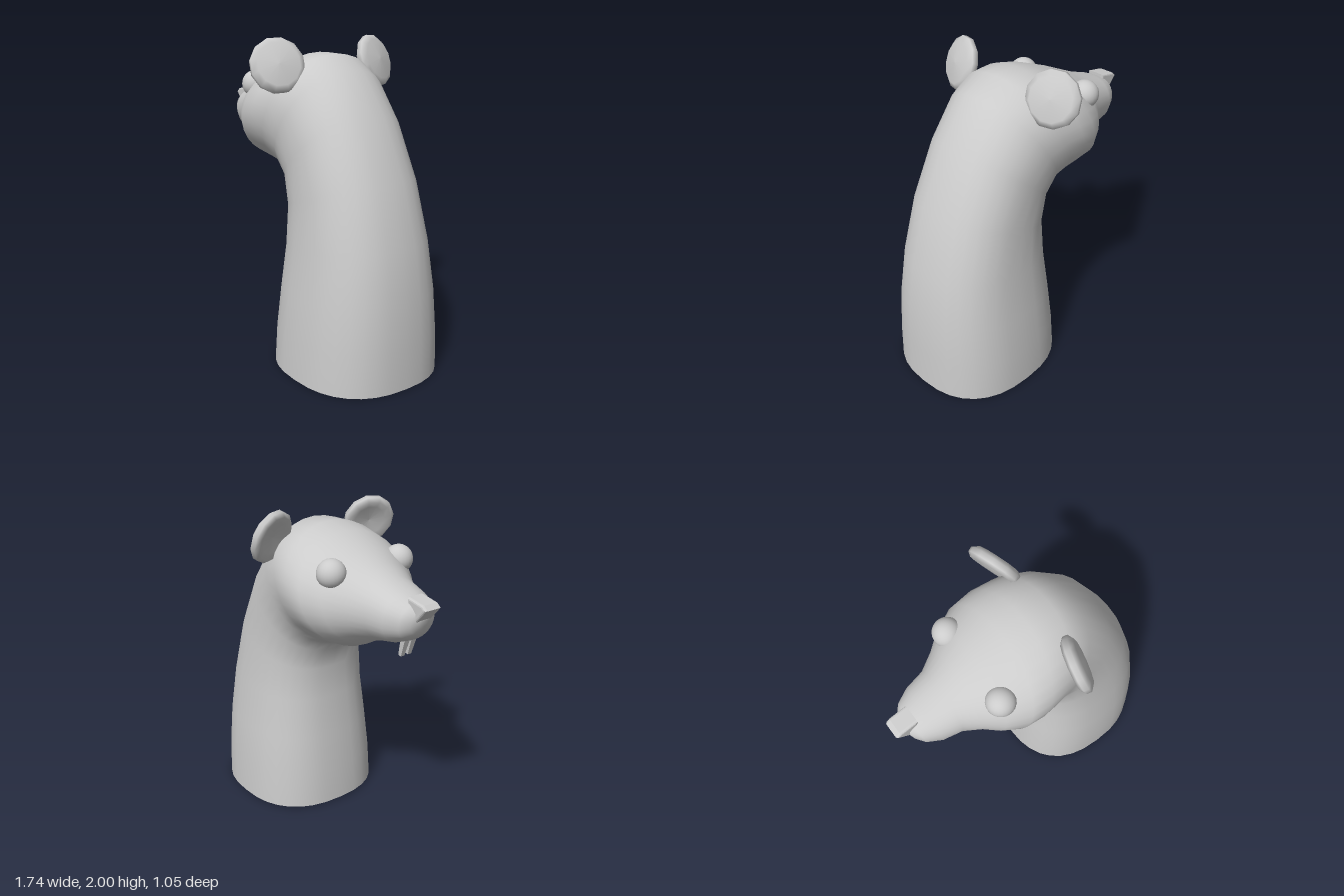
import * as THREE from 'three';

const material = new THREE.MeshStandardMaterial({ color: 0xcccccc, side: THREE.DoubleSide });

function add(parent, name, geometry) {
  const mesh = new THREE.Mesh(geometry, material);
  mesh.name = name;
  parent.add(mesh);
  return mesh;
}

// Sections from neck base to snout: [back/top x, y, throat/chin x, y, half width, squareness]
const sections = [
  [0.87, 0.00, -0.09, 0.01, 0.465, 2.45],
  [0.865, 0.25, -0.075, 0.25, 0.455, 2.45],
  [0.85, 0.52, -0.05, 0.50, 0.43, 2.45],
  [0.805, 0.83, -0.02, 0.76, 0.395, 2.45],
  [0.70, 1.20, -0.01, 0.97, 0.37, 2.4],
  [0.53, 1.56, -0.04, 1.10, 0.36, 2.3],
  [0.34, 1.81, -0.10, 1.165, 0.375, 2.15],
  [0.19, 1.90, -0.17, 1.19, 0.405, 2.05],
  [0.02, 1.905, -0.24, 1.205, 0.42, 2],
  [-0.12, 1.87, -0.33, 1.22, 0.41, 2],
  [-0.30, 1.80, -0.40, 1.26, 0.345, 2],
  [-0.42, 1.745, -0.46, 1.29, 0.27, 2],
  [-0.54, 1.69, -0.55, 1.32, 0.205, 2.1],
  [-0.67, 1.645, -0.66, 1.345, 0.18, 2.2],
  [-0.76, 1.605, -0.74, 1.38, 0.135, 2.2],
  [-0.80, 1.58, -0.78, 1.42, 0.085, 2.1],
  [-0.815, 1.54, -0.80, 1.47, 0.035, 2],
];

// Loft with shared vertices: open at the base, closed at the snout
function bodyGeometry(sides = 32) {
  const positions = [], index = [];
  const power = (v, n) => Math.sign(v) * Math.abs(v) ** (2 / n);
  for (const [bx, by, fx, fy, width, n] of sections) {
    for (let j = 0; j < sides; j++) {
      const t = (j / sides) * Math.PI * 2;
      const u = power(Math.cos(t), n), v = power(Math.sin(t), n);
      positions.push((bx + fx) / 2 + u * (bx - fx) / 2, (by + fy) / 2 + u * (by - fy) / 2, v * width);
    }
  }
  for (let i = 0; i < sections.length - 1; i++) {
    for (let j = 0; j < sides; j++) {
      const k = (j + 1) % sides;
      const a = i * sides + j, b = i * sides + k, c = a + sides, d = b + sides;
      index.push(a, c, b, b, c, d);
    }
  }
  const tip = positions.length / 3, last = tip - sides;
  positions.push(-0.81, 1.505, 0);
  for (let j = 0; j < sides; j++) index.push(last + j, tip, last + (j + 1) % sides);
  const geometry = new THREE.BufferGeometry();
  geometry.setAttribute('position', new THREE.Float32BufferAttribute(positions, 3));
  geometry.setIndex(index);
  geometry.computeVertexNormals();
  return geometry;
}

export function createModel() {
  const model = new THREE.Group();
  model.name = 'animalHead';
  add(model, 'neckAndHead', bodyGeometry());

  // Dished ear, thick at the rim
  const earProfile = [[0, -0.015], [0.1, -0.025], [0.14, -0.04], [0.165, -0.02],
    [0.165, 0.01], [0.13, 0.035], [0, 0.045]].map(([x, y]) => new THREE.Vector2(x, y));
  const earGeometry = new THREE.LatheGeometry(earProfile, 12);
  const up = new THREE.Vector3(0, 1, 0);

  for (const side of [1, -1]) {
    const label = side > 0 ? 'right' : 'left';
    const eye = add(model, label + 'Eye', new THREE.SphereGeometry(0.087, 24, 16));
    eye.position.set(-0.313, 1.7, side * 0.252);

    const ear = add(model, label + 'Ear', earGeometry);
    ear.position.set(0.11, 1.845, side * 0.37);
    ear.quaternion.setFromUnitVectors(up, new THREE.Vector3(1, 0.36, side * 0.33).normalize());

    // Slanted, tapering front tooth
    const tooth = new THREE.BoxGeometry(0.04, 0.16, 0.045);
    const p = tooth.attributes.position;
    for (let i = 0; i < p.count; i++) {
      if (p.getY(i) < 0) p.setXYZ(i, p.getX(i) * 0.55, p.getY(i), p.getZ(i) * 0.6);
    }
    tooth.computeVertexNormals();
    const toothMesh = add(model, label + 'Tooth', tooth);
    toothMesh.position.set(-0.685, 1.345, side * 0.026);
    toothMesh.rotation.z = 0.25;
  }

  // Wedge-shaped nose with softened edges
  const outline = new THREE.Shape([[-0.855, 1.59], [-0.795, 1.52], [-0.745, 1.55], [-0.745, 1.62], [-0.84, 1.602]]
    .map(([x, y]) => new THREE.Vector2(x, y)));
  const nose = new THREE.ExtrudeGeometry(outline, {
    depth: 0.09, bevelThickness: 0.015, bevelSize: 0.014, bevelSegments: 3,
  });
  nose.translate(0, 0, -0.045);
  add(model, 'nose', nose);

  return model;
}
